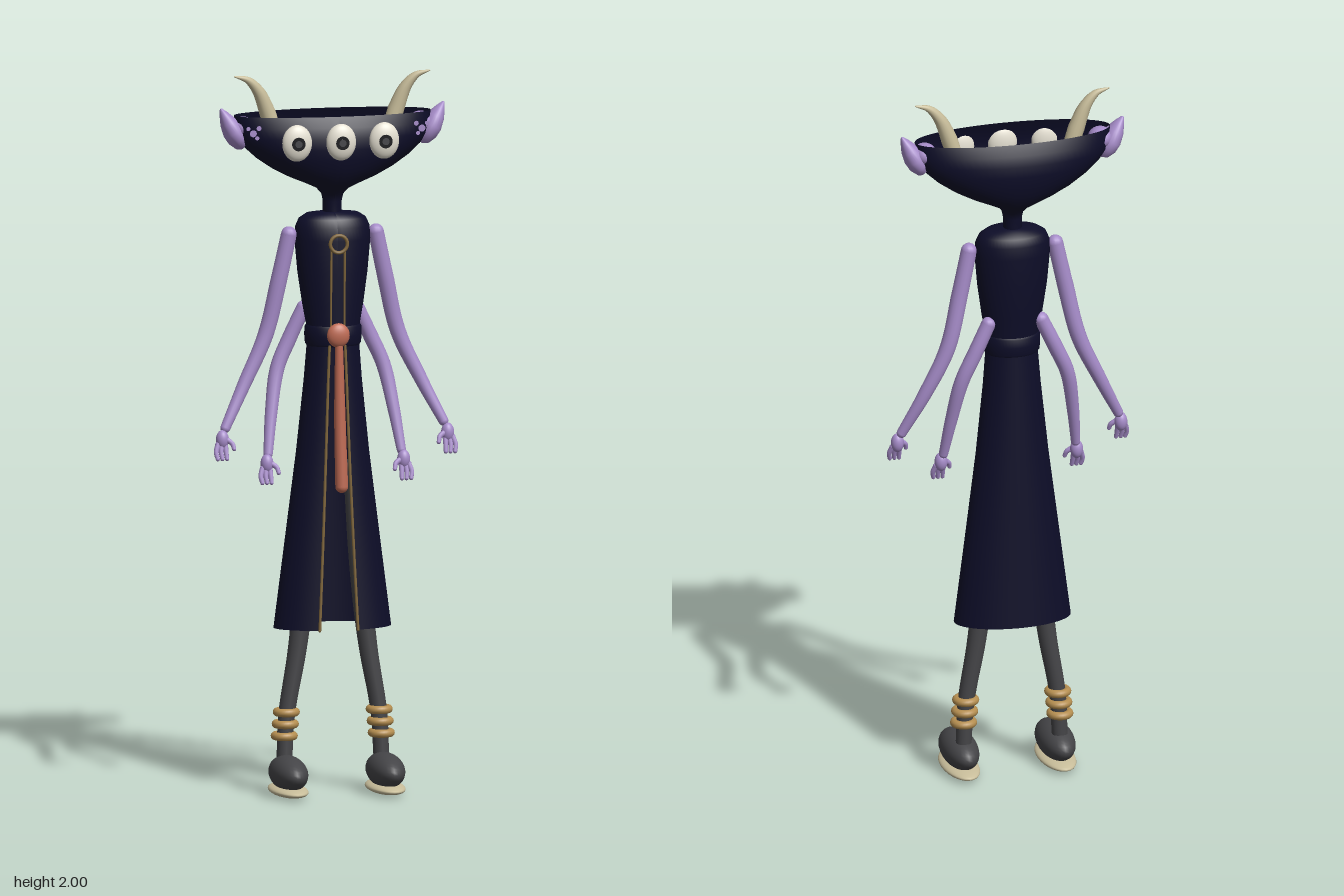
import * as THREE from 'three';

const mat = (name, color, side = THREE.FrontSide) => {
  const m = new THREE.MeshStandardMaterial({ color, side });
  m.name = name;
  return m;
};

export function createModel() {
  const navy = mat('navy cloth', 0x0d0d28, THREE.DoubleSide);
  const lavender = mat('lavender skin', 0xa68cc9, THREE.DoubleSide);
  const cream = mat('eye cream', 0xe6e1d3);
  const horn = mat('horn tan', 0xc9be9b);
  const gold = mat('bangle gold', 0xb58e50);
  const trimGold = mat('trim gold', 0x80663a);
  const coral = mat('sash coral', 0xc06c55);
  const charcoal = mat('charcoal', 0x454548);
  const ink = mat('pupil ink', 0x121216, THREE.DoubleSide);

  const root = new THREE.Group();
  root.name = 'hornedFigure';
  const body = new THREE.Group();
  body.name = 'body';
  body.position.x = 0.004;
  root.add(body);

  const V = (p) => new THREE.Vector3(...p);
  const add = (name, geo, material, pos = [0, 0, 0], parent = body) => {
    const m = new THREE.Mesh(geo, material);
    m.name = name;
    m.position.set(...pos);
    parent.add(m);
    return m;
  };
  const ball = (name, material, pos, scale) =>
    add(name, new THREE.SphereGeometry(1, 28, 18), material, pos).scale.set(...scale);

  // Loft of ellipses, rows from bottom to top: [y, halfWidth, halfDepth, centreZ, frontGap]
  const loft = (rows, seg = 56) => {
    const pos = [], idx = [];
    rows.forEach(([y, a, b, cz, gap = 0], i) => {
      const g = Math.asin(gap / a);
      for (let j = 0; j <= seg; j++) {
        const t = g + (j / seg) * (2 * Math.PI - 2 * g);
        pos.push(a * Math.sin(t), y, cz + b * Math.cos(t));
        if (i < rows.length - 1 && j < seg) {
          const p = i * (seg + 1) + j, q = p + seg + 1;
          idx.push(p, p + 1, q, p + 1, q + 1, q);
        }
      }
    });
    const geo = new THREE.BufferGeometry();
    geo.setAttribute('position', new THREE.Float32BufferAttribute(pos, 3));
    geo.setIndex(idx);
    geo.computeVertexNormals();
    return geo;
  };

  // Tapered tube along a curve, with rounded ends
  const limb = (name, material, points, radii, steps = 28, sides = 16) => {
    const curve = new THREE.CatmullRomCurve3(points.map(V), false, 'centripetal');
    const geo = new THREE.TubeGeometry(curve, steps, 1, sides);
    const p = geo.attributes.position;
    for (let i = 0; i <= steps; i++) {
      const c = curve.getPointAt(i / steps);
      const f = (i / steps) * (radii.length - 1), k = Math.min(Math.floor(f), radii.length - 2);
      const r = THREE.MathUtils.lerp(radii[k], radii[k + 1], f - k);
      for (let j = 0; j <= sides; j++) {
        const n = i * (sides + 1) + j;
        const v = new THREE.Vector3().fromBufferAttribute(p, n).sub(c).multiplyScalar(r).add(c);
        p.setXYZ(n, v.x, v.y, v.z);
      }
    }
    const m = add(name, geo, material);
    [[points[0], radii[0]], [points.at(-1), radii.at(-1)]].forEach(([c, r]) =>
      add(name + 'End', new THREE.SphereGeometry(r, 14, 10), material, c, m));
  };

  // Open bowl head flowing into the neck
  const Z = -0.033;
  add('head', loft([
    [1.59, 0.026, 0.027, Z], [1.645, 0.026, 0.028, Z], [1.665, 0.03, 0.036, Z], [1.682, 0.045, 0.053, Z],
    [1.697, 0.078, 0.07, Z], [1.715, 0.122, 0.084, Z], [1.74, 0.17, 0.097, Z], [1.77, 0.214, 0.105, Z],
    [1.80, 0.247, 0.109, Z], [1.83, 0.268, 0.108, Z], [1.86, 0.276, 0.1, Z], [1.89, 0.277, 0.086, Z],
  ], 72), navy);

  // Robe, split at the front below the waist
  const robe = [
    [0.46, 0.165, 0.088, -0.032, 0.054], [0.7, 0.134, 0.078, -0.031, 0.043], [0.95, 0.102, 0.068, -0.029, 0.033],
    [1.15, 0.081, 0.061, -0.026, 0.026], [1.25, 0.073, 0.058, -0.024, 0.022], [1.251, 0.073, 0.058, -0.024],
    [1.3, 0.074, 0.059, -0.024], [1.36, 0.085, 0.064, -0.027], [1.45, 0.098, 0.069, -0.03],
    [1.54, 0.106, 0.071, -0.031], [1.575, 0.104, 0.068, -0.032], [1.598, 0.094, 0.06, -0.033],
    [1.611, 0.074, 0.048, -0.033], [1.616, 0.026, 0.027, -0.033],
  ];
  add('robe', loft(robe), navy);
  add('belt', loft([[1.245, 0.073, 0.057, -0.024], [1.252, 0.078, 0.062, -0.024],
    [1.275, 0.08, 0.064, -0.024], [1.298, 0.079, 0.063, -0.024], [1.305, 0.073, 0.057, -0.024]]), navy);

  // Clasp, sash and gold ring on the chest
  ball('beltClasp', coral, [0, 1.28, 0.044], [0.032, 0.034, 0.018]);
  limb('sash', coral, [[0.002, 1.26, 0.043], [0.004, 1.05, 0.045], [0.008, 0.86, 0.05]], [0.011, 0.016, 0.018]);
  add('chestRing', new THREE.TorusGeometry(0.024, 0.005, 10, 32), trimGold, [0, 1.535, 0.05]);

  // Three eyes
  [[-0.123, 0.072], [0, 0.078], [0.123, 0.072]].forEach(([x, z]) => {
    ball('eye', cream, [x, 1.823, z], [0.042, 0.051, 0.022]);
    add('iris', new THREE.CircleGeometry(0.019, 28), ink, [x, 1.823, z + 0.0215]);
    add('pupil', new THREE.CircleGeometry(0.01, 24), charcoal, [x, 1.823, z + 0.0235]);
  });

  const earProfile = [[0, -0.062], [0.022, -0.052], [0.036, -0.03], [0.039, -0.005], [0.031, 0.025],
    [0.017, 0.05], [0.006, 0.066], [0, 0.07]].map((p) => new THREE.Vector2(...p));

  for (const s of [-1, 1]) {
    const M = (pts) => pts.map(([x, y, z]) => [s * x, y, z]);

    // Horn, ear and cheek marks
    limb('horn', horn, M([[0.166, 1.845, -0.038], [0.182, 1.895, -0.038], [0.208, 1.955, -0.036],
      [0.238, 1.987, -0.034], [0.275, 1.998, -0.033]]), [0.022, 0.023, 0.019, 0.012, 0.002], 32);
    const ear = add('ear', new THREE.LatheGeometry(earProfile, 28), lavender, [s * 0.282, 1.85, -0.033]);
    ear.rotation.z = -s * 0.5;
    ear.scale.x = 0.75;
    ball('innerEar', lavender, [s * 0.25, 1.856, -0.035], [0.034, 0.03, 0.038]);
    [[0.222, 1.862, 0.007], [0.238, 1.848, 0.01], [0.227, 1.835, 0.006], [0.252, 1.862, 0.006]].forEach(([x, y, r]) =>
      add('cheekMark', new THREE.CircleGeometry(r, 16), lavender, [s * x, y, 0.035]));

    // Robe trim along the chest and the slit
    limb('chestTrim', trimGold, [[s * 0.019, 1.515, 0.04], [s * 0.019, 1.4, 0.038], [s * 0.019, 1.3, 0.036]],
      [0.003, 0.003], 10, 8);
    limb('slitTrim', trimGold, robe.slice(0, 5).map(([y, a, b, cz, g]) =>
      [s * g, y, cz + b * Math.sqrt(1 - (g / a) ** 2)]), [0.004, 0.004], 24, 8);

    // Two pairs of arms, each with a small hand
    const arms = [
      ['upperArm', [[0.123, 1.555, -0.03], [0.15, 1.43, -0.034], [0.187, 1.275, -0.04], [0.25, 1.14, -0.03], [0.308, 1.025, -0.006]],
        [0.022, 0.023, 0.022, 0.019, 0.014], [0.318, 0.99, 0.002]],
      ['lowerArm', [[0.075, 1.345, -0.06], [0.115, 1.26, -0.062], [0.15, 1.18, -0.056], [0.173, 1.06, -0.03], [0.188, 0.95, -0.002]],
        [0.02, 0.021, 0.02, 0.017, 0.013], [0.193, 0.92, 0.006]],
    ];
    arms.forEach(([name, pts, radii, h]) => {
      limb(name, lavender, M(pts), radii);
      ball('palm', lavender, [s * h[0], h[1] + 0.004, h[2]], [0.018, 0.027, 0.018]);
      [-1, 0, 1].forEach((k) => limb('finger', lavender, M([
        [h[0] + 0.003 + k * 0.01, h[1] - 0.008, h[2] + 0.004],
        [h[0] + 0.006 + k * 0.014, h[1] - 0.03, h[2] + 0.012],
        [h[0] + 0.004 + k * 0.013, h[1] - 0.047, h[2] + 0.018]]), [0.008, 0.007, 0.006], 8, 10));
      limb('thumb', lavender, M([[h[0] - 0.01, h[1] + 0.005, h[2] + 0.006], [h[0] - 0.025, h[1] - 0.006, h[2] + 0.012],
        [h[0] - 0.029, h[1] - 0.02, h[2] + 0.018]]), [0.008, 0.006], 8, 10);
    });

    // Leg, ankle rings, shoe and sole
    limb('leg', charcoal, M([[0.058, 0.9, -0.027], [0.078, 0.6, -0.027], [0.1, 0.4, -0.027], [0.13, 0.22, -0.026], [0.137, 0.09, -0.025]]),
      [0.028, 0.029, 0.028, 0.024, 0.022]);
    [0.16, 0.193, 0.226].forEach((y, i) => {
      const ring = add('ankleRing', new THREE.TorusGeometry(0.026, 0.0115, 12, 32), gold, [s * (0.137 - i * 0.003), y, -0.026]);
      ring.rotation.x = Math.PI / 2;
    });
    ball('shoe', charcoal, [s * 0.137, 0.063, 0.025], [0.05, 0.048, 0.116]);
    ball('sole', horn, [s * 0.137, 0.016, 0.023], [0.051, 0.016, 0.121]);
    const heel = add('solePatch', new THREE.CylinderGeometry(0.012, 0.012, 0.006, 20), charcoal, [s * 0.137, 0.003, 0.01]);
    heel.scale.z = 1.2;
  }

  return root;
}
